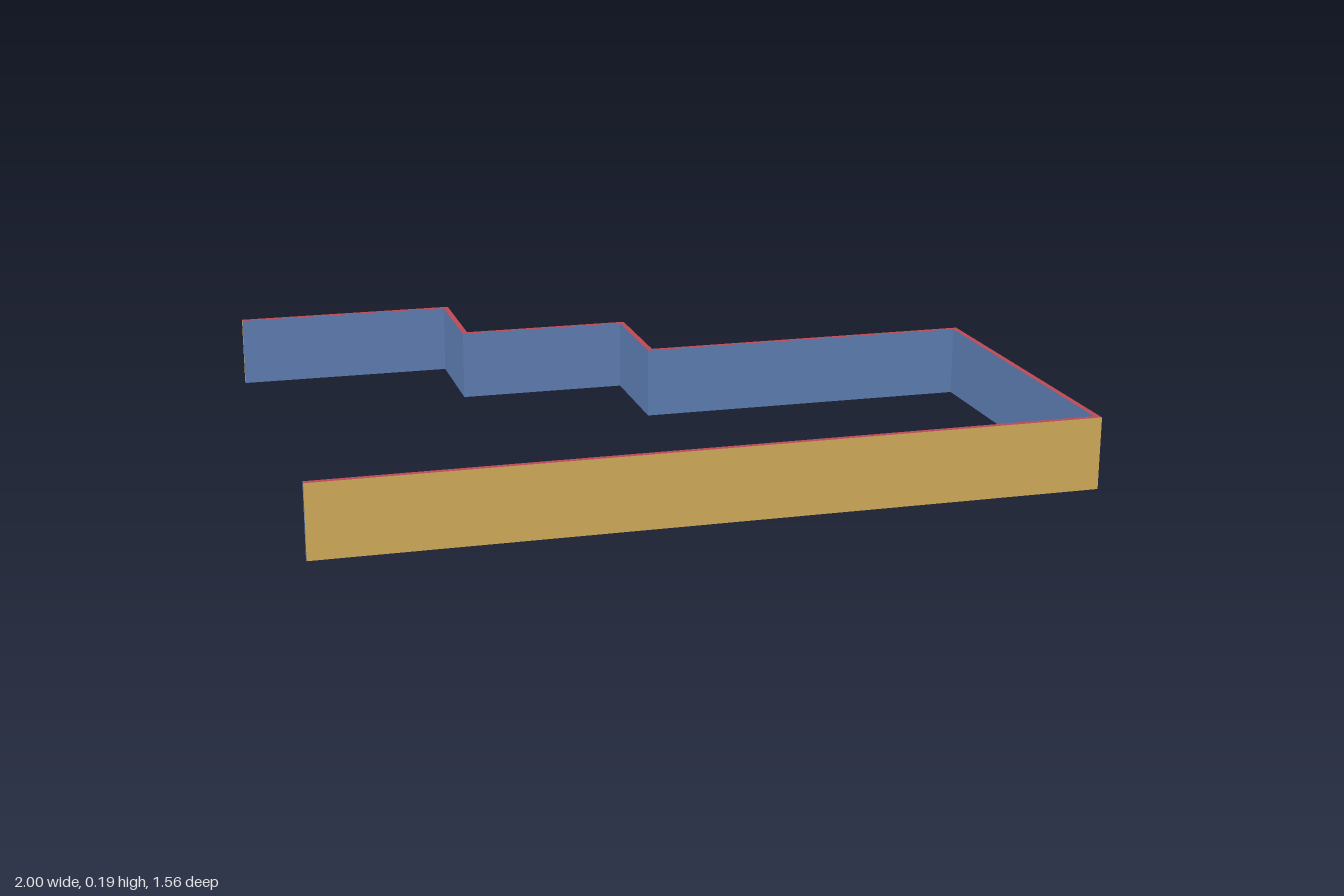
import * as THREE from 'three';

const HEIGHT = 0.19;
const THICK = 0.015;

// Outer wall line in plan (x, z), from the free back end round to the free front end
const PLAN = [
  [-1, -0.78], [-0.385, -0.78], [-0.385, -0.466], [0.082, -0.466],
  [0.082, -0.15], [1, -0.15], [1, 0.78], [-1, 0.78],
];

// Inner line: same corners moved inwards by the wall thickness, ends kept flush
const INNER = PLAN.map(([x, z]) => [
  x === -1 ? x : x - THICK,
  z > 0 ? z - THICK : z + THICK,
]);

const raise = (line, y) => line.map(([x, z]) => new THREE.Vector3(x, y, z));

// Faceted ribbon of quads between two matching lines
function ribbon(name, a, b, color) {
  const points = [];
  for (let i = 0; i < a.length - 1; i++) {
    points.push(a[i], b[i], a[i + 1], a[i + 1], b[i], b[i + 1]);
  }
  const geometry = new THREE.BufferGeometry().setFromPoints(points);
  geometry.computeVertexNormals();
  const material = new THREE.MeshStandardMaterial({ color, side: THREE.DoubleSide });
  const mesh = new THREE.Mesh(geometry, material);
  mesh.name = name;
  return mesh;
}

export function createModel() {
  const group = new THREE.Group();
  group.name = 'steppedWall';

  const outerBase = raise(PLAN, 0);
  const outerTop = raise(PLAN, HEIGHT);
  const innerBase = raise(INNER, 0);
  const innerTop = raise(INNER, HEIGHT);

  // Two skins joined by a top strip; the base and the two ends are open
  group.add(
    ribbon('outerSkin', outerBase, outerTop, 0xdcb45f),
    ribbon('innerSkin', innerTop, innerBase, 0x6284ba),
    ribbon('topStrip', outerTop, innerTop, 0xc04a58),
  );
  return group;
}
